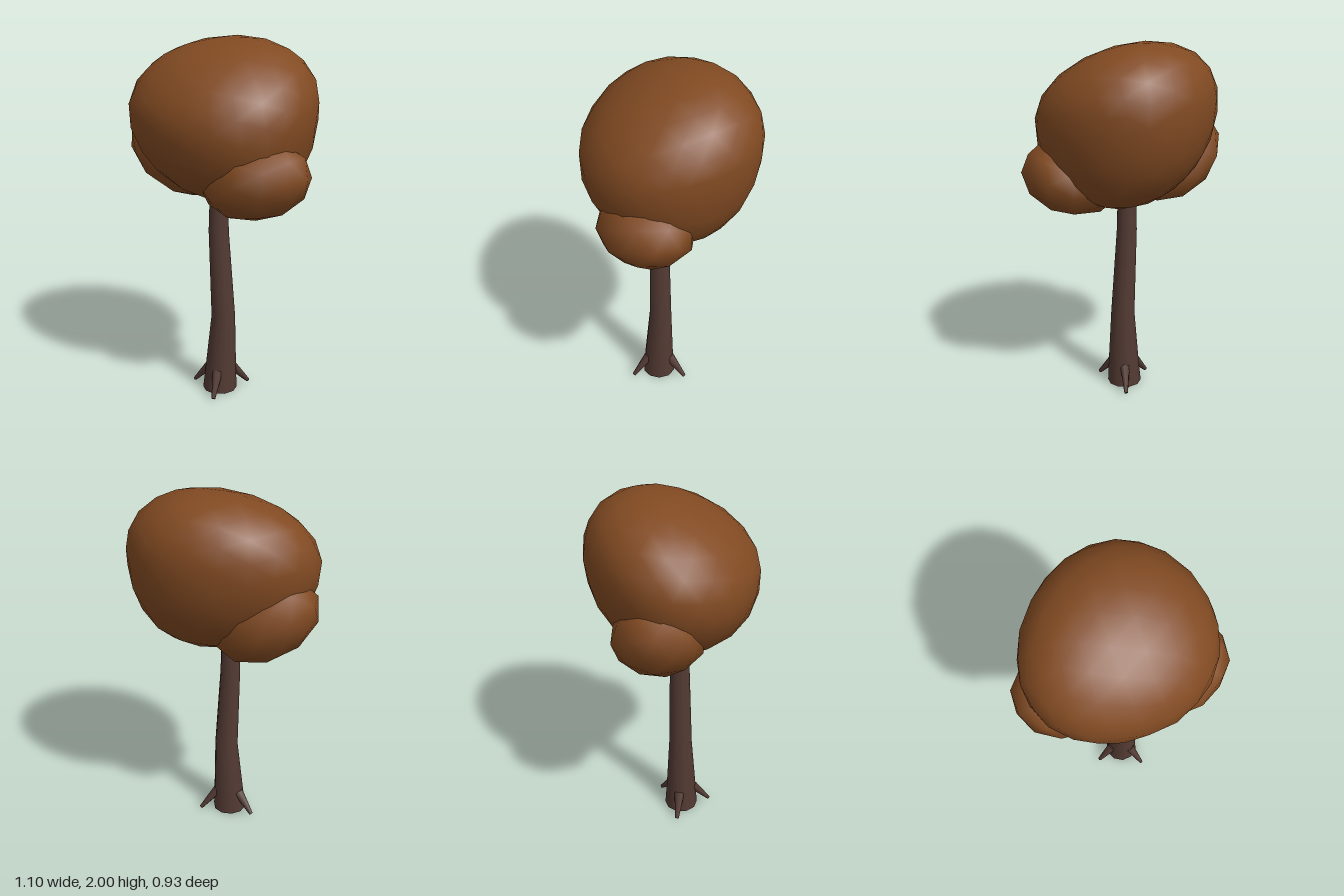
import * as THREE from 'three';
import { mergeVertices } from 'three/addons/utils/BufferGeometryUtils.js';

const foliageMat = new THREE.MeshStandardMaterial({ color: 0x814a22 });
foliageMat.name = 'autumn brown foliage';
const barkMat = new THREE.MeshStandardMaterial({ color: 0x543b34, side: THREE.DoubleSide });
barkMat.name = 'dark bark';

// Smooth rounded clump: each unit-sphere point is moved by a rule
function clump(name, detail, turnY, turnZ, rule) {
  let geo = new THREE.IcosahedronGeometry(1, detail);
  geo.deleteAttribute('uv');
  geo.deleteAttribute('normal');
  geo = mergeVertices(geo, 1e-4).rotateY(turnY).rotateZ(turnZ);
  const p = geo.attributes.position;
  for (let i = 0; i < p.count; i++) {
    p.setXYZ(i, ...rule(p.getX(i), p.getY(i), p.getZ(i)));
  }
  geo.computeVertexNormals();
  const mesh = new THREE.Mesh(geo, foliageMat);
  mesh.name = name;
  return mesh;
}

// Bent, tapering, open trunk lofted through rings of [y, centre x, centre z, radius]
function buildTrunk() {
  const rings = [
    [0, 0.009, 0.05, 0.097],
    [0.13, 0.015, 0.05, 0.088],
    [0.45, 0.028, 0.045, 0.067],
    [0.95, -0.002, 0.038, 0.056],
    [1.3, 0, 0.035, 0.048],
  ];
  const geo = new THREE.CylinderGeometry(1, 1, 1, 10, rings.length - 1, true);
  const p = geo.attributes.position;
  for (let i = 0; i < p.count; i++) {
    const [y, cx, cz, r] = rings[Math.round((p.getY(i) + 0.5) * (rings.length - 1))];
    p.setXYZ(i, cx + p.getX(i) * r, y, cz + p.getZ(i) * r);
  }
  const mesh = new THREE.Mesh(geo, barkMat);
  mesh.name = 'trunk';
  return mesh;
}

// Thin root running from the trunk down to a tip on the ground
function buildRoot(tipX, tipZ) {
  const tip = new THREE.Vector3(tipX, 0.008, tipZ);
  const top = new THREE.Vector3(0.01, 0, 0.05).lerp(tip, 0.4).setY(0.125);
  const dir = top.clone().sub(tip);
  const geo = new THREE.CylinderGeometry(0.03, 0.011, dir.length(), 6);
  const mesh = new THREE.Mesh(geo, barkMat);
  mesh.position.copy(tip).add(top).multiplyScalar(0.5);
  mesh.quaternion.setFromUnitVectors(new THREE.Vector3(0, 1, 0), dir.normalize());
  mesh.name = 'root';
  return mesh;
}

export function createModel() {
  const tree = new THREE.Group();
  tree.name = 'tree';
  tree.add(buildTrunk());

  const roots = new THREE.Group();
  roots.name = 'roots';
  for (const [x, z] of [[-0.157, 0.02], [0.142, -0.067], [0.03, 0.22]]) roots.add(buildRoot(x, z));
  tree.add(roots);

  // Large crown: sloping down to the front, narrower to one side, tapering underneath
  tree.add(clump('mainCrown', 3, 0.14, 0.14, (u, v, w) => [
    0.005 + 0.517 * u * (1 + 0.08 * Math.max(v, 0)) + (v < 0 ? 0.1 : 0.03) * v * v + 0.04 * w * w,
    1.615 - 0.065 * w + (v < 0 ? 0.49 : 0.384) * v,
    0.47 * w * (1 + 0.05 * u) - 0.055 * v * v,
  ]));

  // Two small side clumps, their outer ends raised
  tree.add(clump('frontLeftClump', 1, -0.2, 0, (u, v, w) => [
    0.26 + 0.293 * u,
    1.287 + 0.035 * u + 0.02 * w + (v < 0 ? 0.208 : 0.225) * v,
    0.2 + 0.255 * w,
  ]));
  tree.add(clump('backRightClump', 1, 0.28, 0.28, (u, v, w) => [
    -0.28 + 0.285 * u,
    1.35 - 0.095 * u + 0.225 * v,
    -0.08 + 0.25 * w,
  ]));
  return tree;
}
